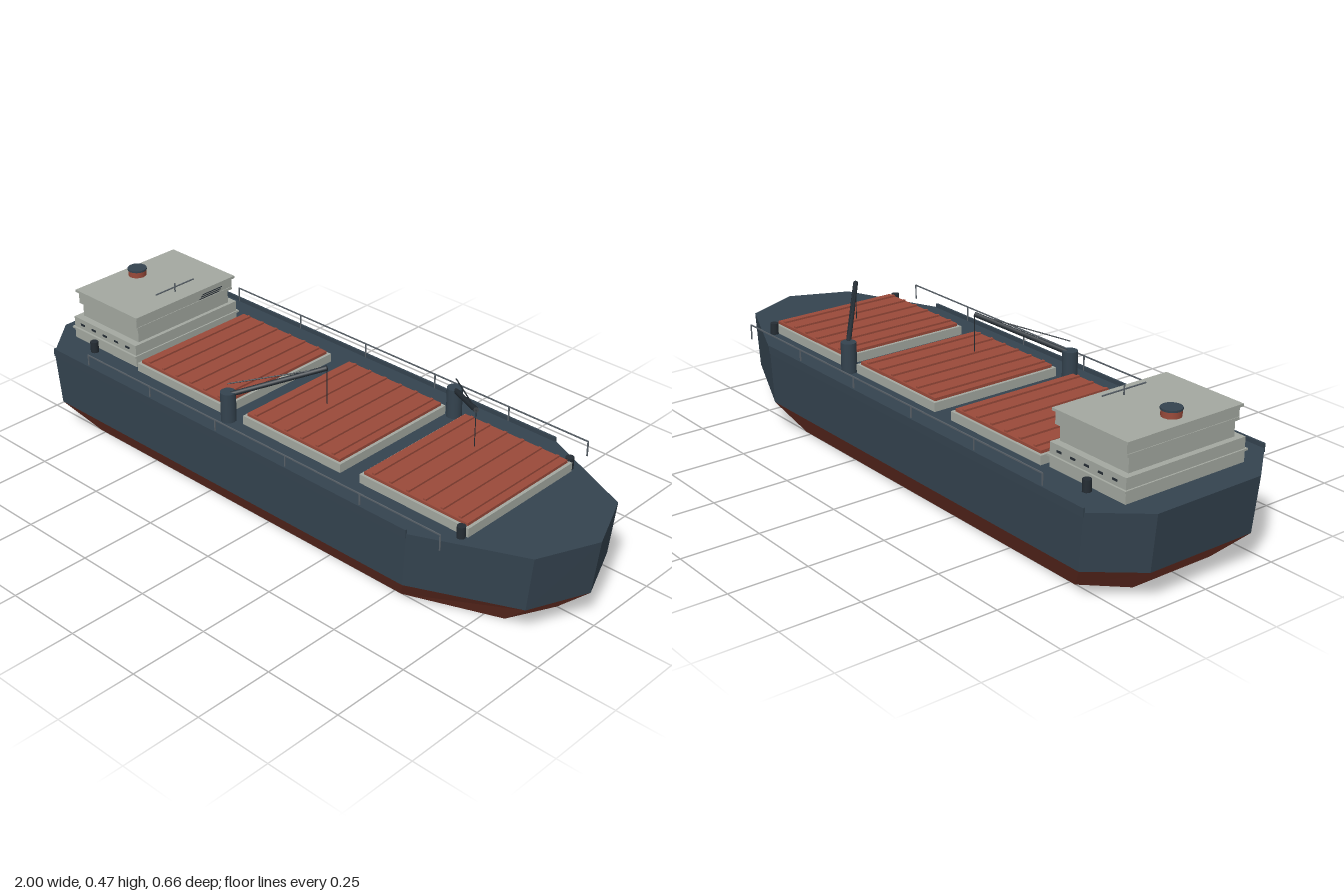
import * as THREE from 'three';

const mat = (name, color, extra = {}) => {
  const m = new THREE.MeshStandardMaterial({ color, ...extra });
  m.name = name;
  return m;
};

export function createModel() {
  const ship = new THREE.Group();
  ship.name = 'cargoShip';
  const navy = mat('navy paint', 0x34434f);
  const keelRed = mat('antifouling red', 0x7a382b);
  const hatchRed = mat('hatch red', 0x9a4a3a);
  const grey = mat('superstructure grey', 0xa3a8a0);
  const dark = mat('dark steel', 0x252d34);
  const railGrey = mat('rail grey', 0x596168);

  const add = (name, geo, material, x = 0, y = 0, z = 0, parent = ship) => {
    const mesh = new THREE.Mesh(geo, material);
    mesh.name = name;
    mesh.position.set(x, y, z);
    parent.add(mesh);
    return mesh;
  };
  // Box given by its centre in x and z and by its lower and upper heights
  const box = (name, m, x, z, w, d, y0, y1, parent = ship) =>
    add(name, new THREE.BoxGeometry(w, y1 - y0, d), m, x, (y0 + y1) / 2, z, parent);
  const post = (name, m, x, z, r, y0, y1, sides = 12, parent = ship) =>
    add(name, new THREE.CylinderGeometry(r, r, y1 - y0, sides), m, x, (y0 + y1) / 2, z, parent);
  // Straight bar between two points
  const bar = (name, m, a, b, r, parent = ship, sides = 6) => {
    const from = new THREE.Vector3(...a), to = new THREE.Vector3(...b);
    const dir = to.clone().sub(from);
    const mesh = add(name, new THREE.CylinderGeometry(r, r, dir.length(), sides), m, 0, 0, 0, parent);
    mesh.position.copy(from).add(to).multiplyScalar(0.5);
    mesh.quaternion.setFromUnitVectors(new THREE.Vector3(0, 1, 0), dir.normalize());
    return mesh;
  };

  // Hull: one faceted outline, scaled at three heights
  const half = [[0.92, 0.186], [0.6, 0.328], [-0.88, 0.328], [-1, 0.186]];
  const outline = [[1, 0], ...half, ...half.slice().reverse().map(([x, z]) => [x, -z])];
  const ring = (y, sx, sz) => outline.map(([x, z]) => [x * sx, y, z * sz]);
  const keel = ring(0, 0.875, 0.768);
  const waterline = ring(0.1, 0.98, 0.99);
  const deck = ring(0.275, 1, 1);
  const loft = (lower, upper, capBottom, capTop) => {
    const p = [];
    const n = lower.length;
    for (let i = 0; i < n; i++) {
      const j = (i + 1) % n;
      p.push(lower[i], upper[i], lower[j], lower[j], upper[i], upper[j]);
      if (capBottom && i > 0 && i < n - 1) p.push(lower[0], lower[i], lower[j]);
      if (capTop && i > 0 && i < n - 1) p.push(upper[0], upper[j], upper[i]);
    }
    const geo = new THREE.BufferGeometry();
    geo.setAttribute('position', new THREE.Float32BufferAttribute(p.flat(), 3));
    geo.computeVertexNormals();
    return geo;
  };
  add('lowerHull', loft(keel, waterline, true, false), keelRed);
  add('upperHull', loft(waterline, deck, false, true), navy);

  // Bulwarks and railings along both sides
  for (const s of [1, -1]) {
    box('bulwark', navy, -0.14, s * 0.327, 1.48, 0.007, 0.262, 0.288);
    const rail = new THREE.Group();
    rail.name = 'railing';
    ship.add(rail);
    box('topRail', railGrey, 0, s * 0.324, 1.43, 0.003, 0.321, 0.325, rail);
    for (let i = 0; i < 6; i++) {
      box('railPost', railGrey, -0.714 + i * 0.2856, s * 0.324, 0.004, 0.003, 0.275, 0.323, rail);
    }
    // Bollards fore and aft
    for (const x of [-0.79, 0.715]) post('bollard', dark, x, s * 0.238, 0.013, 0.272, 0.311, 10);
  }

  // Three cargo hatches with ribbed covers
  for (const x of [-0.398, 0.07, 0.535]) {
    const hatch = new THREE.Group();
    hatch.name = 'cargoHatch';
    ship.add(hatch);
    box('coaming', grey, x, 0, 0.392, 0.456, 0.272, 0.303, hatch);
    box('cover', hatchRed, x, 0, 0.372, 0.438, 0.302, 0.312, hatch);
    for (let i = 0; i < 6; i++) {
      box('coverRib', hatchRed, x - 0.155 + i * 0.062, 0, 0.01, 0.43, 0.311, 0.318, hatch);
    }
  }

  // Deckhouse: stacked tiers and overhanging decks
  const house = new THREE.Group();
  house.name = 'deckhouse';
  ship.add(house);
  box('mainTier', grey, -0.763, 0, 0.296, 0.43, 0.272, 0.349, house);
  box('lowerDeckEdge', grey, -0.763, 0, 0.306, 0.444, 0.309, 0.315, house);
  box('middleTier', grey, -0.76, 0, 0.265, 0.382, 0.348, 0.398, house);
  box('bridgeDeck', grey, -0.758, 0, 0.28, 0.402, 0.396, 0.405, house);
  box('bridge', grey, -0.758, 0, 0.276, 0.404, 0.404, 0.436, house);
  box('roof', grey, -0.758, 0, 0.292, 0.416, 0.435, 0.443, house);
  for (let i = 0; i < 3; i++) {
    box('bridgeWindow', dark, -0.62, -0.105 - i * 0.006, 0.003, 0.085, 0.407 + i * 0.006, 0.4095 + i * 0.006, house);
  }
  for (const s of [1, -1]) {
    for (let i = 0; i < 5; i++) {
      box('porthole', dark, -0.87 + i * 0.054, s * 0.2155, 0.018, 0.004, 0.328, 0.334, house);
    }
  }

  // Funnel and signal mast
  post('funnel', hatchRed, -0.845, 0, 0.029, 0.44, 0.463, 16, house);
  post('funnelCap', navy, -0.845, 0, 0.031, 0.462, 0.468, 16, house);
  post('mast', railGrey, -0.665, 0, 0.0025, 0.44, 0.472, 6, house);
  box('mastYard', railGrey, -0.665, 0, 0.004, 0.16, 0.458, 0.461, house);

  // Deck cranes, one on each side
  for (const [x, s] of [[-0.175, 1], [0.29, -1]]) {
    const crane = new THREE.Group();
    crane.name = 'deckCrane';
    ship.add(crane);
    const tip = [x + 0.226, 0.461, s * 0.055];
    post('cranePost', navy, x, s * 0.239, 0.024, 0.272, 0.37, 12, crane);
    bar('craneBoom', dark, [x + 0.006, 0.362, s * 0.236], tip, 0.008, crane, 8);
    bar('stayCable', dark, [x + 0.002, 0.398, s * 0.241], tip, 0.002, crane);
    bar('hoistCable', dark, tip, [tip[0], 0.342, tip[2]], 0.0013, crane);
  }
  return ship;
}
